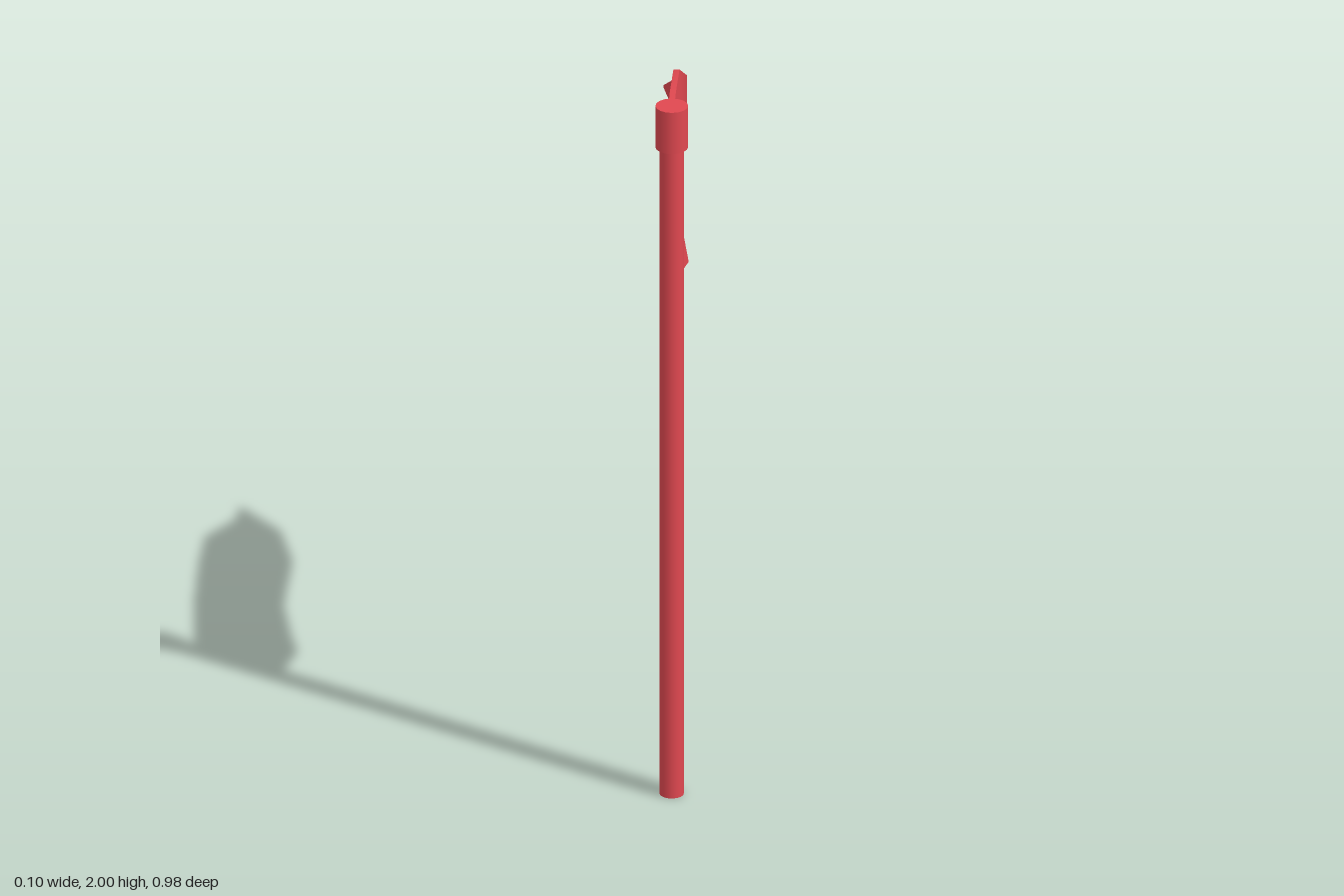
import * as THREE from 'three';
import { toCreasedNormals } from 'three/addons/utils/BufferGeometryUtils.js';

const red = new THREE.MeshStandardMaterial({ color: 0xe04850 });
const POST_X = -0.01, POST_Z = 0.445;

// Upright cylinder on the post axis
function upright(name, radius, y0, y1) {
  const mesh = new THREE.Mesh(new THREE.CylinderGeometry(radius, radius, y1 - y0, 16), red);
  mesh.name = name;
  mesh.position.set(POST_X, (y0 + y1) / 2, POST_Z);
  return mesh;
}

// Thin, bent arrow board lofted through upright cross-sections
function boardGeometry() {
  // z, top y, bottom y, then x at the top edge, middle and bottom edge
  const sections = [
    [0.42, 1.79, 1.48, -0.008, -0.008, -0.006],
    [0.30, 1.788, 1.475, -0.008, 0.012, 0.03],
    [0.17, 1.785, 1.47, -0.006, 0.006, 0.01],
    [0.02, 1.78, 1.465, -0.001, 0.002, -0.005],
    [-0.10, 1.775, 1.46, 0.007, 0.01, 0.004],
    [-0.245, 1.768, 1.453, 0.02, 0.026, 0.017],
    [-0.39, 1.68, 1.53, 0.043, 0.043, 0.043],
    [-0.49, 1.603, 1.597, 0, 0, 0],
  ];
  const rows = 4, ring = rows * 2, half = 0.008;
  const positions = [], index = [];
  const quad = (a, b, c, d) => index.push(a, b, c, a, c, d);

  for (const [z, top, bottom, xTop, xMid, xBottom] of sections) {
    const xs = [xTop, xMid, xMid, xBottom];
    for (let k = 0; k < ring; k++) {
      const row = k < rows ? k : ring - 1 - k;
      const y = THREE.MathUtils.lerp(top, bottom, row / (rows - 1));
      positions.push(xs[row] + (k < rows ? half : -half), y, z);
    }
  }
  // faces and edges
  for (let s = 0; s < sections.length - 1; s++) {
    for (let k = 0; k < ring; k++) {
      const a = s * ring + k, b = s * ring + (k + 1) % ring;
      quad(a, b, b + ring, a + ring);
    }
  }
  // end caps
  const last = (sections.length - 1) * ring;
  for (let k = 0; k < rows - 1; k++) {
    quad(k, ring - 1 - k, ring - 2 - k, k + 1);
    quad(last + k, last + k + 1, last + ring - 2 - k, last + ring - 1 - k);
  }
  const geometry = new THREE.BufferGeometry();
  geometry.setAttribute('position', new THREE.Float32BufferAttribute(positions, 3));
  geometry.setIndex(index);
  return toCreasedNormals(geometry, 0.9);
}

export function createModel() {
  const model = new THREE.Group();
  model.name = 'signpost';
  model.add(upright('post', 0.032, 0, 1.9));
  model.add(upright('postCap', 0.043, 1.88, 2));

  const board = new THREE.Mesh(boardGeometry(), red);
  board.name = 'arrowBoard';
  model.add(board);
  return model;
}
